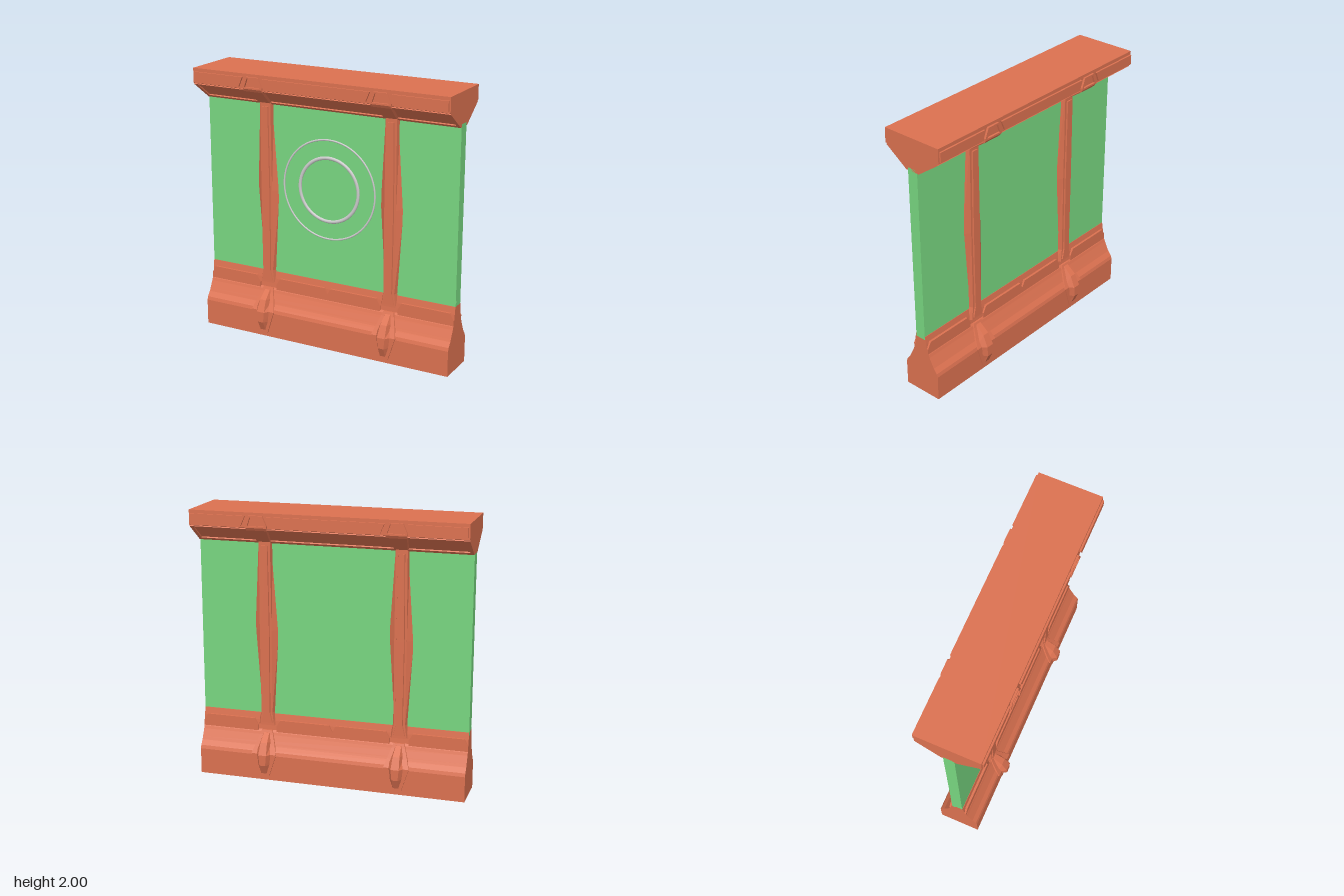
import * as THREE from 'three';

const terracotta = new THREE.MeshStandardMaterial({ color: 0xdb7150, flatShading: true });
const green = new THREE.MeshStandardMaterial({ color: 0x78d680 });
const grey = new THREE.MeshStandardMaterial({ color: 0xcccccc });

function add(parent, name, geometry, material = terracotta) {
  const mesh = new THREE.Mesh(geometry, material);
  mesh.name = name;
  parent.add(mesh);
  return mesh;
}

const shapeOf = (points) => new THREE.Shape(points.map(([x, y]) => new THREE.Vector2(x, y)));

// Plate cut from an outline, lying between z0 and z1
function plate(points, z0, z1, hole) {
  const shape = shapeOf(points);
  if (hole) shape.holes.push(shapeOf(hole));
  const g = new THREE.ExtrudeGeometry(shape, { depth: z1 - z0, bevelEnabled: false });
  return g.translate(0, 0, z0);
}

// Half profile [z, y] mirrored front to back and run along x
function beam(half, length) {
  const points = [...half, ...half.map(([z, y]) => [-z, y]).reverse()];
  return plate(points, -length / 2, length / 2).rotateY(Math.PI / 2);
}

// Stacked trapezoid sections, each row [y, back half width, front half width, back z, front z]
function loft(rows) {
  const rings = rows.map(([y, wb, wf, zb, zf]) => [[-wb, y, zb], [-wf, y, zf], [wf, y, zf], [wb, y, zb]]);
  const pos = [];
  const quad = (a, b, c, d) => pos.push(...a, ...b, ...c, ...a, ...c, ...d);
  for (let i = 0; i < rings.length - 1; i++) {
    for (let k = 0; k < 4; k++) {
      const n = (k + 1) % 4;
      quad(rings[i][k], rings[i][n], rings[i + 1][n], rings[i + 1][k]);
    }
  }
  quad(...rings[rings.length - 1]);
  quad(...[...rings[0]].reverse());
  const g = new THREE.BufferGeometry();
  g.setAttribute('position', new THREE.Float32BufferAttribute(pos, 3));
  g.computeVertexNormals();
  return g;
}

const mirrorX = (points) => points.map(([x, y]) => [-x, y]).reverse();

// Pillar with its foot boss and cornice boss
function makePillar() {
  const g = new THREE.Group();
  g.name = 'pillar';
  add(g, 'pillarShaft', loft([
    [0.40, 0.08, 0.055, 0.03, 0.072], [0.50, 0.055, 0.042, 0.03, 0.07],
    [1.12, 0.09, 0.045, 0.035, 0.07], [1.78, 0.05, 0.042, 0.03, 0.07]]));
  add(g, 'pillarStrip', loft([
    [0.42, 0.05, 0.042, 0.05, 0.08], [0.50, 0.032, 0.024, 0.05, 0.08],
    [1.12, 0.036, 0.028, 0.05, 0.08], [1.74, 0.03, 0.022, 0.05, 0.08]]));
  add(g, 'footBossRim', loft([
    [0.03, 0.045, 0.04, 0.10, 0.157], [0.20, 0.10, 0.094, 0.10, 0.157],
    [0.26, 0.08, 0.074, 0.06, 0.122], [0.33, 0.055, 0.05, 0.04, 0.085],
    [0.36, 0.045, 0.04, 0.03, 0.072]]));
  add(g, 'footBossGem', loft([
    [0.05, 0.035, 0.02, 0.13, 0.158], [0.12, 0.06, 0.022, 0.13, 0.19],
    [0.20, 0.07, 0.03, 0.13, 0.19], [0.285, 0.05, 0.025, 0.07, 0.15],
    [0.345, 0.032, 0.02, 0.04, 0.082]]));
  add(g, 'corniceBossLower', loft([
    [1.77, 0.05, 0.044, 0.03, 0.082], [1.875, 0.08, 0.074, 0.15, 0.232],
    [1.895, 0.08, 0.074, 0.18, 0.245]]));
  add(g, 'corniceBossFrame', plate(
    [[-0.08, 1.895], [0.08, 1.895], [0.08, 1.91], [0.05, 1.98], [-0.05, 1.98], [-0.08, 1.91]], 0.22, 0.247,
    [[-0.062, 1.907], [-0.04, 1.97], [0.04, 1.97], [0.062, 1.907]]));
  return g;
}

// Everything that repeats on the front and the back
function makeFace(name) {
  const g = new THREE.Group();
  g.name = name;
  for (const x of [-0.5, 0.5]) {
    const pillar = makePillar();
    pillar.position.x = x;
    g.add(pillar);
  }

  // Raised lip plates above the plinth
  const lipSide = [[0.57, 0.345], [1, 0.345], [1, 0.39], [0.97, 0.44], [0.6, 0.44], [0.57, 0.39]];
  const lipMiddle = [[-0.43, 0.345], [0.43, 0.345], [0.43, 0.39], [0.4, 0.44], [0.025, 0.44],
    [0, 0.39], [-0.025, 0.44], [-0.4, 0.44], [-0.43, 0.39]];
  for (const p of [lipSide, lipMiddle, mirrorX(lipSide)]) add(g, 'lipPlate', plate(p, 0.03, 0.067));

  // Raised plates on the cornice band
  const bandSide = [[0.61, 1.905], [0.99, 1.905], [0.99, 1.975], [0.58, 1.975]];
  const bandMiddle = [[-0.39, 1.905], [0.39, 1.905], [0.42, 1.975], [-0.42, 1.975]];
  for (const p of [bandSide, bandMiddle, mirrorX(bandSide)]) add(g, 'corniceBandPlate', plate(p, 0.22, 0.245));

  // Frame around the sunken sloping underside
  const frame = add(g, 'corniceSlopeFrame', plate(
    [[-1, 0], [1, 0], [1, 0.215], [-1, 0.215]], -0.005, 0.01,
    [[-0.975, 0.03], [-0.975, 0.19], [0.975, 0.19], [0.975, 0.03]]));
  frame.rotation.x = Math.atan2(0.175, 0.125);
  frame.position.set(0, 1.765, 0.045);
  return g;
}

export function createModel() {
  const model = new THREE.Group();
  model.name = 'wallPanel';

  add(model, 'plinth', beam([
    [0.15, 0], [0.15, 0.19], [0.142, 0.215], [0.115, 0.25], [0.105, 0.27], [0.078, 0.325],
    [0.07, 0.345], [0.058, 0.36], [0.052, 0.43], [0.043, 0.485]], 2));
  add(model, 'cornice', beam([
    [0.04, 1.76], [0.215, 1.885], [0.232, 1.892], [0.232, 2]], 2));

  const wall = add(model, 'wall', new THREE.BoxGeometry(2, 1.32, 0.08), green);
  wall.position.y = 1.12;

  model.add(makeFace('frontFace'));
  const back = makeFace('backFace');
  back.rotation.y = Math.PI;
  model.add(back);

  // Two rings on the front of the wall
  for (const [name, radius, tube] of [['outerRing', 0.367, 0.007], ['innerRing', 0.235, 0.013]]) {
    const ring = add(model, name, new THREE.TorusGeometry(radius, tube, 8, 64), grey);
    ring.position.set(0, 1.18, 0.04);
    ring.scale.z = 0.7;
  }

  // Small studs on the wall ends
  for (const x of [-0.998, 0.998]) {
    const stud = add(model, 'endStud', new THREE.BoxGeometry(0.008, 0.014, 0.014), green);
    stud.position.set(x, 0.513, 0.03);
  }
  return model;
}
